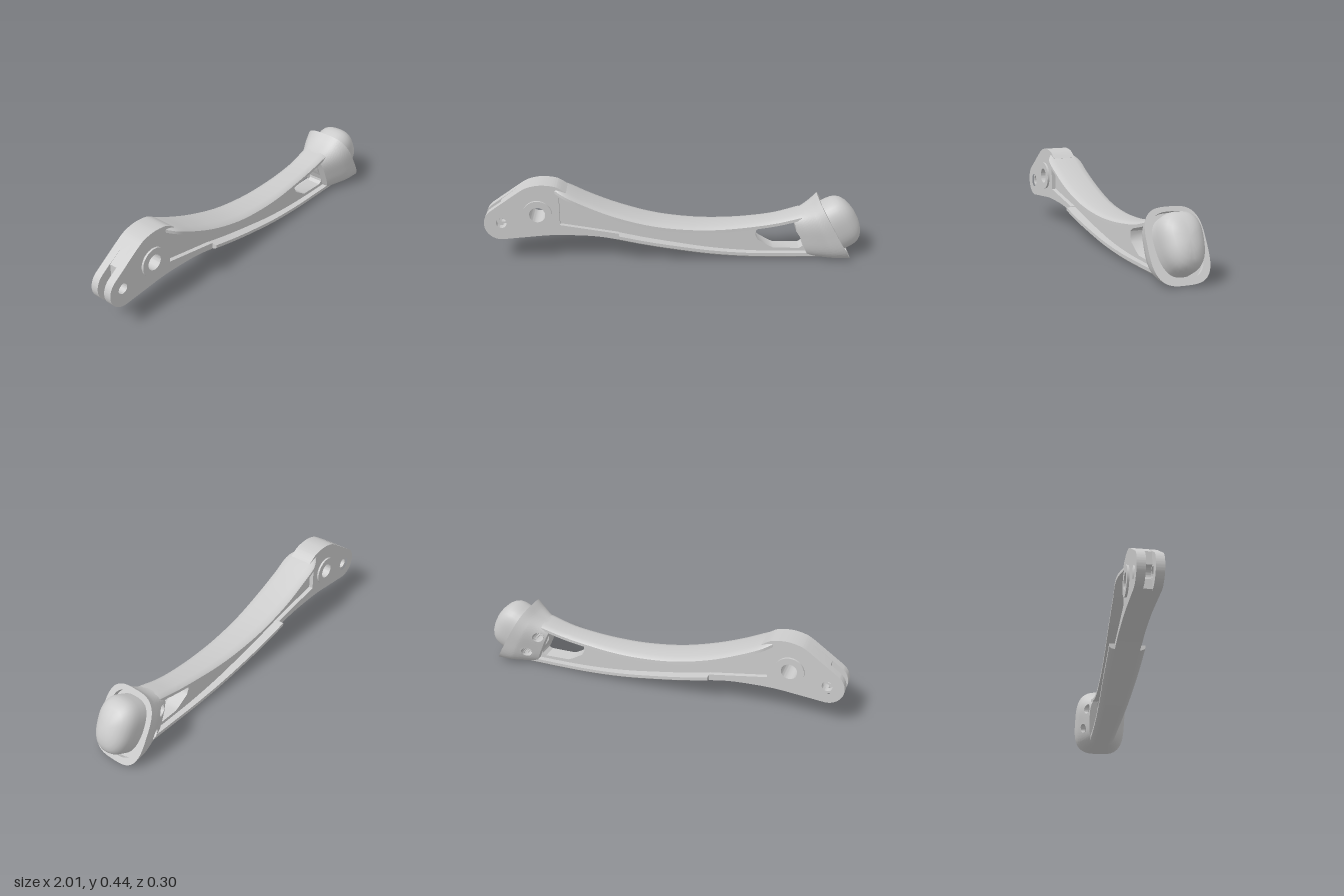
import * as THREE from 'three';
import { toCreasedNormals } from 'three/addons/utils/BufferGeometryUtils.js';

const V = (x, y, z = 0) => new THREE.Vector3(x, y, z);
const grey = new THREE.MeshStandardMaterial({ color: 0xcccccc });

function part(geometry, name, crease = 0.6) {
  const mesh = new THREE.Mesh(toCreasedNormals(geometry, crease), grey);
  mesh.name = name;
  return mesh;
}

// Skin closed rings into a solid with fan caps; flips the winding if it came out inside out.
function loft(rings) {
  const n = rings[0].length, pts = rings.flat(), idx = [];
  for (let i = 0; i < rings.length - 1; i++) {
    for (let j = 0; j < n; j++) {
      const a = i * n + j, b = i * n + (j + 1) % n;
      idx.push(a, b, a + n, b, b + n, a + n);
    }
  }
  [0, rings.length - 1].forEach((r, end) => {
    const c = pts.length;
    pts.push(rings[r].reduce((s, p) => s.add(p), V(0, 0)).divideScalar(n));
    for (let j = 0; j < n; j++) {
      const a = r * n + j, b = r * n + (j + 1) % n;
      if (end) idx.push(a, b, c); else idx.push(b, a, c);
    }
  });
  let volume = 0;
  for (let i = 0; i < idx.length; i += 3) {
    volume += pts[idx[i]].dot(V(0, 0).crossVectors(pts[idx[i + 1]], pts[idx[i + 2]]));
  }
  if (volume < 0) idx.reverse();
  const g = new THREE.BufferGeometry().setFromPoints(pts);
  g.setIndex(idx);
  return g;
}

// Rounded (superellipse) ring spanned between a top and a bottom point, half width hz.
function ring(top, bottom, hz, power, count, taper = 0) {
  const mid = top.clone().add(bottom).multiplyScalar(0.5);
  const up = top.clone().sub(mid);
  return Array.from({ length: count }, (_, i) => {
    const a = i / count * Math.PI * 2, c = Math.cos(a), s = Math.sin(a);
    const r = (Math.abs(c) ** power + Math.abs(s) ** power) ** (-1 / power);
    const p = mid.clone().addScaledVector(up, r * c);
    p.z = hz * r * s * (1 + taper * r * c);
    return p;
  });
}

// Crowned flange along points (x, y, half width); dir = 1 crown up, -1 crown down.
function flange(points, thickness, dir) {
  const curve = new THREE.CatmullRomCurve3(points);
  return loft(curve.getPoints(48).map(p => [
    [-1, 1], [-1, 0.45], [-0.88, 0.18], [-0.6, 0], [0.6, 0], [0.88, 0.18], [1, 0.45], [1, 1],
  ].map(([w, t]) => V(p.x, p.y - dir * t * thickness, w * p.z))));
}

function slab(shape, z0, z1) {
  const g = new THREE.ExtrudeGeometry(shape, { depth: z1 - z0, bevelEnabled: false, curveSegments: 20 });
  return g.translate(0, 0, z0);
}

function circle(x, y, r) {
  return new THREE.Path().absarc(x, y, r, 0, Math.PI * 2, true);
}

function washer(x, y, outer, inner) {
  const s = new THREE.Shape().absarc(x, y, outer, 0, Math.PI * 2, false);
  s.holes.push(circle(x, y, inner));
  return s;
}

const PIVOT = [-0.715, 0.28], EYE = [-0.91, 0.225];

// Pivot plate outline; the core layer stops at the eye to leave the fork slot.
function plateShape(forked) {
  const s = new THREE.Shape();
  const [ex, ey] = EYE;
  s.moveTo(-0.29, 0.125);
  s.splineThru([[-0.4, 0.145], [-0.52, 0.154], [-0.65, 0.156], [-0.78, 0.146], [-0.895, 0.136]].map(p => new THREE.Vector2(...p)));
  if (forked) {
    s.absarc(ex, ey, 0.09, -1.45, -4.1, true);
  } else {
    s.lineTo(ex, 0.137);
    s.lineTo(ex, ey - 0.038);
    s.absarc(ex, ey, 0.038, -Math.PI / 2, Math.PI / 2, false);
    s.lineTo(ex, 0.332);
  }
  s.lineTo(-0.81, 0.405);
  s.splineThru([[-0.77, 0.428], [-0.72, 0.441], [-0.67, 0.443], [-0.61, 0.432], [-0.56, 0.4]].map(p => new THREE.Vector2(...p)));
  s.lineTo(-0.6, 0.37);
  s.lineTo(-0.6, 0.215);
  s.lineTo(-0.29, 0.16);
  s.holes.push(circle(...PIVOT, 0.06));
  if (forked) s.holes.push(circle(ex, ey, 0.038));
  return s;
}

export function createModel() {
  const model = new THREE.Group();
  model.name = 'leverArm';

  // Pivot plate: two fork cheeks and a core between them
  const plate = new THREE.Group();
  plate.name = 'pivotPlate';
  plate.add(part(slab(plateShape(false), -0.022, 0.022), 'plateCore'));
  for (const side of [1, -1]) {
    const range = (a, b) => side > 0 ? [a, b] : [-b, -a];
    plate.add(part(slab(plateShape(true), ...range(0.022, 0.064)), 'forkCheek'));
    plate.add(part(slab(washer(...EYE, 0.039, 0.028), ...range(0.022, 0.054)), 'eyeBushing'));
  }
  plate.add(part(slab(washer(...PIVOT, 0.077, 0.042), -0.075, 0.075), 'pivotBoss'));
  model.add(plate);

  // Flanges along the top and bottom edges
  const top = [
    V(-0.62, 0.427, 0.064), V(-0.565, 0.402, 0.093), V(-0.45, 0.345, 0.096), V(-0.3, 0.283, 0.096),
    V(-0.1, 0.226, 0.09), V(0.1, 0.2, 0.083), V(0.25, 0.197, 0.078), V(0.4, 0.207, 0.072),
    V(0.55, 0.228, 0.07), V(0.68, 0.262, 0.075),
  ];
  const bottom = [
    V(-0.29, 0.126, 0.092), V(-0.15, 0.094, 0.09), V(0, 0.065, 0.087), V(0.2, 0.031, 0.08),
    V(0.4, 0.011, 0.074), V(0.6, 0.004, 0.07), V(0.78, 0.004, 0.07),
  ];
  model.add(part(flange(top, 0.03, 1), 'topFlange'));
  model.add(part(flange(bottom, 0.032, -1), 'bottomFlange'));

  // Recessed web with a window near the head
  const lower = new THREE.CatmullRomCurve3(bottom).getPoints(30).map(p => new THREE.Vector2(p.x, p.y + 0.012));
  const upper = new THREE.CatmullRomCurve3(top).getPoints(40).map(p => new THREE.Vector2(p.x, p.y - 0.012)).reverse();
  const web = new THREE.Shape([new THREE.Vector2(-0.62, 0.2), ...lower, ...upper]);
  web.holes.push(new THREE.Path([
    [0.44, 0.135], [0.443, 0.16], [0.47, 0.178], [0.55, 0.203], [0.63, 0.212], [0.652, 0.2], [0.658, 0.155],
    [0.7, 0.09], [0.698, 0.065], [0.68, 0.052], [0.54, 0.056], [0.515, 0.068], [0.455, 0.105],
  ].map(p => new THREE.Vector2(...p))));
  model.add(part(slab(web, -0.04, 0.04), 'web'));

  // Flared head: sections swell toward a tilted rim
  const N = 160;
  const tops = new THREE.CatmullRomCurve3([V(0.63, 0.247), V(0.68, 0.264), V(0.73, 0.295), V(0.772, 0.336)]);
  const bottoms = new THREE.CatmullRomCurve3([V(0.73, 0.004), V(0.8, 0.002), V(0.88, 0.001), V(0.955, 0.004)]);
  const widths = new THREE.CatmullRomCurve3([V(0.082, 0), V(0.108, 0), V(0.137, 0), V(0.151, 0)]);
  const rings = [];
  for (let i = 0; i <= 40; i++) {
    const t = i / 40;
    rings.push(ring(tops.getPoint(t), bottoms.getPoint(t), widths.getPoint(t).x, 3.2, N));
  }

  // Two blind bores sunk into the back of the head
  for (const [x, y] of [[0.695, 0.195], [0.765, 0.095]]) {
    const r = 0.028;
    for (const p of rings.flat()) {
      const d = Math.hypot(p.x - x, p.y - y);
      if (p.z > -0.03 || d > r * 1.15 || d < 1e-6) continue;
      const inside = d < r * 0.8;
      const k = inside ? 1.2 : r / d;
      p.x = x + (p.x - x) * k;
      p.y = y + (p.y - y) * k;
      if (inside) p.z = -0.035;
    }
  }

  // Rim face and the recess that holds the pad; points are (along tilt, out of face)
  const centre = V(0.8635, 0.17);
  const along = V(0.183, -0.332).normalize(), out = V(0.332, 0.183).normalize();
  const at = (u, n) => centre.clone().addScaledVector(along, u).addScaledVector(out, n);
  rings.push(ring(at(-0.165, 0), at(0.157, 0), 0.121, 3, N));
  rings.push(ring(at(-0.165, -0.025), at(0.157, -0.025), 0.121, 3, N));
  model.add(part(loft(rings), 'head', 0.7));

  // Domed pad seated in the recess
  const pad = [
    [-0.03, 1], [0.03, 1], [0.055, 0.98], [0.078, 0.93], [0.098, 0.82], [0.114, 0.66], [0.126, 0.44], [0.133, 0.2],
  ].map(([n, k]) => ring(at(-0.148 * k, n), at(0.145 * k, n), 0.104 * k, 2.6, 40, -0.0 + 0.12));
  model.add(part(loft(pad), 'pad', 0.7));

  return model;
}
